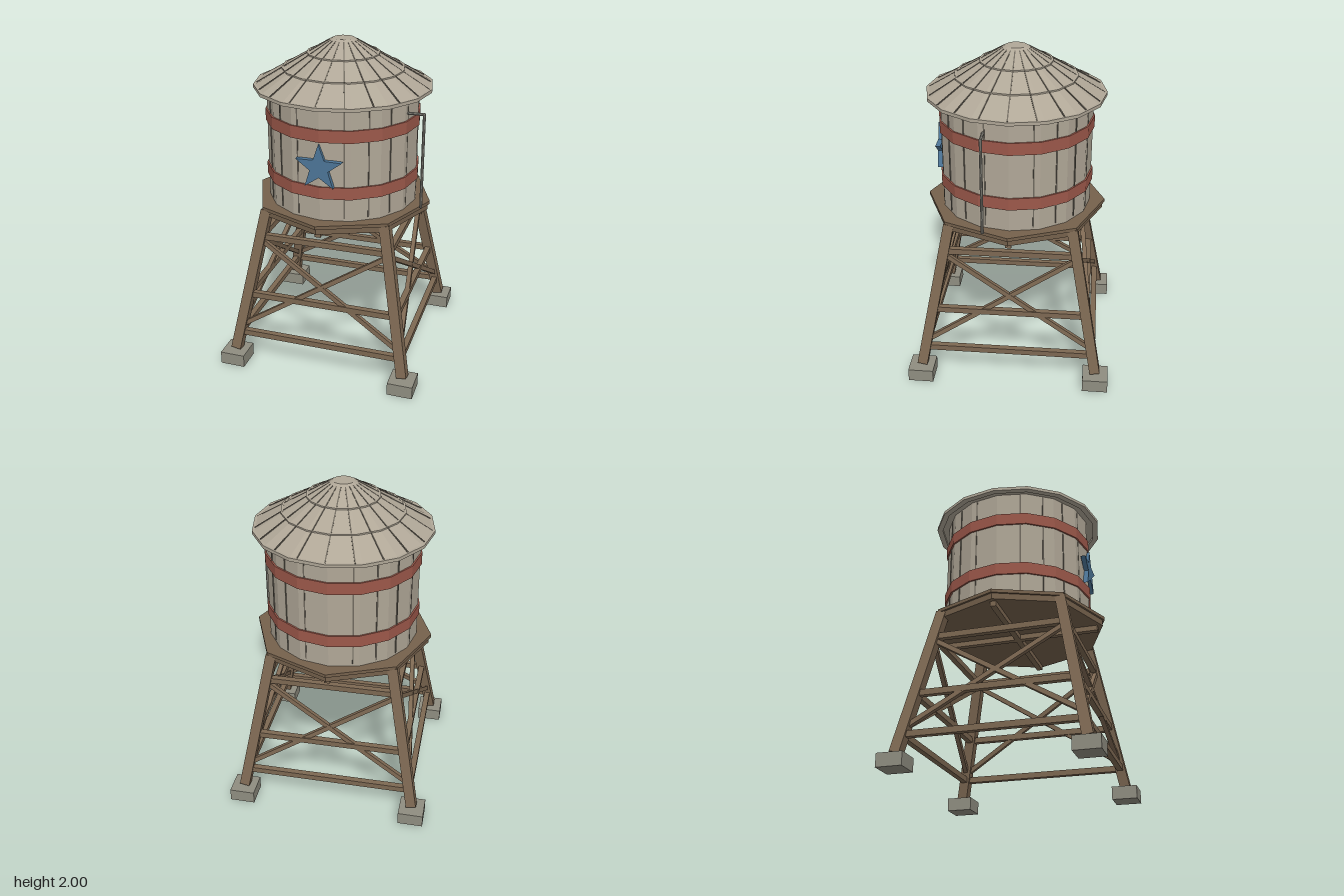
import * as THREE from 'three';

const mat = (color) => new THREE.MeshStandardMaterial({ color, flatShading: true });
const WOOD = mat(0x7d6852), DECK = mat(0x75614c), TANK = mat(0xb0a797), SEAM = mat(0x6f695e);
const BAND = mat(0x9c584a), STONE = mat(0x8f8d80), BLUE = mat(0x4d7698), PIPE = mat(0x8f8d84);
const SIDES = 16, SEAMS = 20;

export function createModel() {
  const model = new THREE.Group();
  const V = (x, y, z) => new THREE.Vector3(x, y, z);

  function add(parent, name, geometry, material, x = 0, y = 0, z = 0) {
    const mesh = new THREE.Mesh(geometry, material);
    mesh.name = name;
    mesh.position.set(x, y, z);
    parent.add(mesh);
    return mesh;
  }

  // Square timber running between two points
  function beam(parent, name, a, b, w, d = w, material = WOOD) {
    const dir = b.clone().sub(a);
    const mesh = add(parent, name, new THREE.BoxGeometry(w, dir.length(), d), material);
    mesh.position.copy(a).add(b).multiplyScalar(0.5);
    mesh.quaternion.setFromUnitVectors(V(0, 1, 0), dir.normalize());
    return mesh;
  }

  function drum(name, rTop, rBottom, y0, y1, sides, material) {
    return add(model, name, new THREE.CylinderGeometry(rTop, rBottom, y1 - y0, sides), material, 0, (y0 + y1) / 2);
  }

  // Open-centred hoop with a rectangular section
  function hoop(name, rIn, rOut, y0, y1, material) {
    const p = [[rIn, y0], [rOut, y0], [rOut, y1], [rIn, y1], [rIn, y0]].map(([r, y]) => new THREE.Vector2(r, y));
    return add(model, name, new THREE.LatheGeometry(p, SIDES), material);
  }

  // Footings and splayed legs
  const legX = (y) => 0.54 - 0.187 * (y - 0.09);
  for (const sx of [-1, 1]) for (const sz of [-1, 1]) {
    add(model, 'footing', new THREE.BoxGeometry(0.155, 0.08, 0.155), STONE, sx * 0.543, 0.04, sz * 0.543);
    beam(model, 'leg', V(sx * legX(0.09), 0.09, sz * legX(0.09)), V(sx * legX(1), 1, sz * legX(1)), 0.062);
  }

  // Rails and crossed braces, the same on all four faces
  for (let i = 0; i < 4; i++) {
    const face = new THREE.Group();
    face.name = 'bracedFace';
    face.rotation.y = i * Math.PI / 2;
    model.add(face);
    for (const y of [0.203, 0.458, 0.835]) {
      const r = legX(y);
      add(face, 'rail', new THREE.BoxGeometry(2 * r, 0.036, 0.036), WOOD, 0, y, r);
    }
    for (const s of [-1, 1]) {
      const lo = 0.245, hi = 0.815;
      beam(face, 'crossBrace', V(-s * legX(lo), lo, legX(lo)), V(s * legX(hi), hi, legX(hi)), 0.028);
    }
  }

  // Joists and eight-sided platform
  add(model, 'joist', new THREE.BoxGeometry(1.02, 0.034, 0.036), WOOD, 0, 0.951, 0);
  add(model, 'joist', new THREE.BoxGeometry(0.036, 0.034, 1.02), WOOD, 0, 0.951, 0);
  drum('platform', 0.542, 0.542, 0.966, 1.003, 8, DECK);
  drum('platformEdge', 0.555, 0.555, 1.003, 1.024, 8, DECK);

  // Tank body with stave seams and hoops
  drum('tank', 0.462, 0.462, 1.024, 1.74, SIDES, TANK);
  for (let i = 0; i < SEAMS; i++) {
    const a = i * Math.PI * 2 / SEAMS;
    const seam = add(model, 'staveSeam', new THREE.BoxGeometry(0.008, 0.68, 0.012), SEAM,
      Math.sin(a) * 0.452, 1.38, Math.cos(a) * 0.452);
    seam.rotation.y = a;
  }
  hoop('lowerBand', 0.45, 0.472, 1.163, 1.237, BAND);
  hoop('upperBand', 0.45, 0.472, 1.508, 1.582, BAND);

  // Conical roof with rim, rings and seams
  const roofY = (r) => 2 - (r - 0.065) * 0.585;
  drum('roof', 0.065, 0.53, roofY(0.53), 2, SIDES, TANK);
  hoop('roofRim', 0.505, 0.54, 1.712, 1.732, TANK);
  for (const r of [0.215, 0.365]) hoop('roofRing', r - 0.008, r + 0.004, roofY(r) - 0.012, roofY(r) + 0.006, TANK);
  for (let i = 0; i < SEAMS; i++) {
    const spoke = new THREE.Group();
    spoke.name = 'roofSeam';
    spoke.rotation.y = i * Math.PI * 2 / SEAMS;
    model.add(spoke);
    const a = V(0, roofY(0.08) - 0.006, 0.08), b = V(0, roofY(0.52) - 0.006, 0.52);
    beam(spoke, 'seamStrip', a, b, 0.007, 0.012, SEAM);
  }

  // Star plate on the front
  const star = new THREE.Shape();
  for (let i = 0; i < 10; i++) {
    const r = i % 2 ? 0.058 : 0.145, a = i * Math.PI / 5;
    star[i ? 'lineTo' : 'moveTo'](Math.sin(a) * r, Math.cos(a) * r);
  }
  star.closePath();
  add(model, 'star', new THREE.ExtrudeGeometry(star, { depth: 0.03, bevelEnabled: false }), BLUE, 0, 1.355, 0.448);

  // Overflow pipe on the left side
  const px = 0.53, pz = 0.147;
  add(model, 'overflowPipe', new THREE.CylinderGeometry(0.009, 0.009, 0.59, 8), PIPE, px, 1.333, pz);
  const arm = add(model, 'pipeArm', new THREE.CylinderGeometry(0.009, 0.009, 0.11, 8), PIPE, px - 0.047, 1.623, pz);
  arm.rotation.z = Math.PI / 2;

  return model;
}
